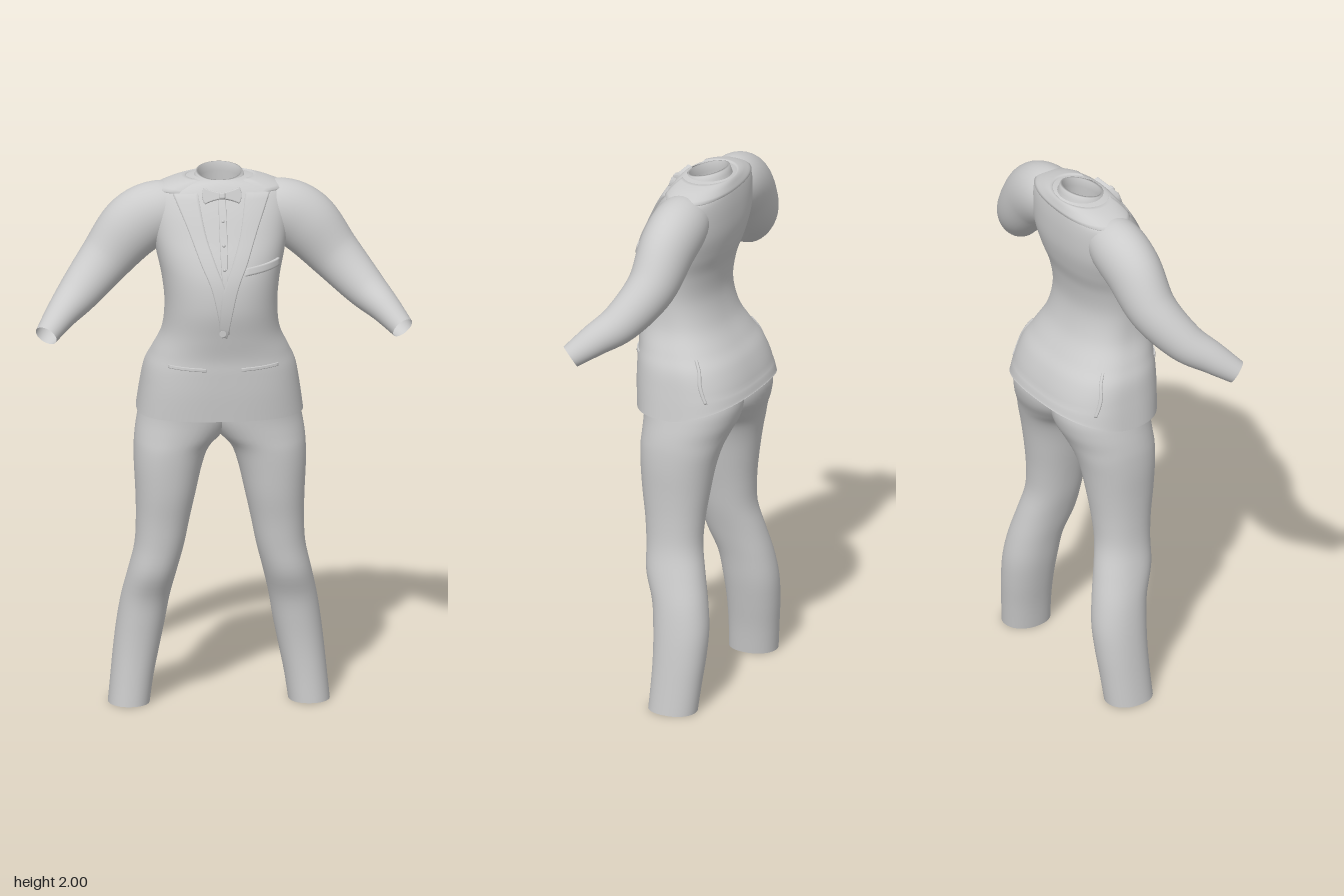
import * as THREE from 'three';
import { RoundedBoxGeometry } from 'three/addons/geometries/RoundedBoxGeometry.js';

const material = new THREE.MeshStandardMaterial({ color: 0xcccccc, side: THREE.DoubleSide });

// Smooth interpolation through a list of rows, t in 0..rows.length-1
function sample(rows, t) {
  const last = rows.length - 1;
  const i = Math.min(Math.max(Math.floor(t), 0), last - 1), f = t - i;
  const p0 = rows[Math.max(i - 1, 0)], p1 = rows[i], p2 = rows[i + 1], p3 = rows[Math.min(i + 2, last)];
  return p1.map((b, k) => {
    const a = p0[k], c = p2[k], d = p3[k];
    return b + 0.5 * f * (c - a + f * (2 * a - 5 * b + 4 * c - d + f * (3 * (b - c) + d - a)));
  });
}

// Surface grid from fn(u, v) with u, v in 0..1
function grid(fn, nu, nv, closed) {
  const cols = closed ? nu : nu + 1, pos = [], index = [];
  for (let j = 0; j <= nv; j++)
    for (let i = 0; i < cols; i++) pos.push(...fn(i / nu, j / nv));
  for (let j = 0; j < nv; j++)
    for (let i = 0; i < nu; i++) {
      const k = (i + 1) % cols, a = j * cols + i, b = j * cols + k;
      index.push(a, a + cols, b, b, a + cols, b + cols);
    }
  const g = new THREE.BufferGeometry();
  g.setAttribute('position', new THREE.Float32BufferAttribute(pos, 3));
  g.setIndex(index);
  g.computeVertexNormals();
  return g;
}

const spow = (v, e) => Math.sign(v) * Math.abs(v) ** e;

// Jacket rows: y, half width, front z, back z, side z, squareness
const jacket = [
  [1.105, 0.3, 0.19, -0.238, -0.02, 2.6], [1.2, 0.287, 0.197, -0.225, -0.02, 2.6],
  [1.28, 0.272, 0.2, -0.195, -0.01, 2.5], [1.34, 0.246, 0.202, -0.155, 0.01, 2.4],
  [1.42, 0.212, 0.217, -0.11, 0.03, 2.3], [1.52, 0.203, 0.235, -0.088, 0.04, 2.2],
  [1.62, 0.213, 0.23, -0.1, 0.03, 2.2], [1.7, 0.23, 0.205, -0.125, 0.01, 2.3],
  [1.78, 0.245, 0.165, -0.142, -0.01, 2.4], [1.86, 0.25, 0.125, -0.145, -0.02, 2.4],
  [1.92, 0.24, 0.09, -0.14, -0.03, 2.3], [1.948, 0.19, 0.072, -0.132, -0.03, 2.2],
  [1.963, 0.135, 0.058, -0.125, -0.035, 2.1], [1.97, 0.09, 0.045, -0.115, -0.035, 2],
];
const top = jacket.length - 1;

function jacketPoint(t, angle) {
  const [y, w, front, back, mid, n] = sample(jacket, t);
  const c = Math.cos(angle), s = Math.sin(angle);
  const lift = 0.06 * Math.max(0, -s) * Math.max(0, 1 - t); // hem rises at the back
  return new THREE.Vector3(w * spow(c, 2 / n), y + lift,
    mid + (s > 0 ? front - mid : mid - back) * spow(s, 2 / n));
}
// Point raised off the jacket along its normal
function raised(t, angle, h) {
  const p = jacketPoint(t, angle), e = 0.02;
  const du = jacketPoint(t, angle + e).sub(jacketPoint(t, angle - e));
  const dv = jacketPoint(Math.min(t + e, top), angle).sub(jacketPoint(Math.max(t - e, 0), angle));
  return p.addScaledVector(dv.cross(du).normalize(), h);
}
function levelAt(y) {
  let lo = 0, hi = top;
  for (let i = 0; i < 30; i++) {
    const m = (lo + hi) / 2;
    if (sample(jacket, m)[0] < y) lo = m; else hi = m;
  }
  return lo;
}
// Position on the jacket front (side = 1) or back (side = -1) from x and y
function locate(x, y, side = 1) {
  const t = levelAt(y), [, w, , , , n] = sample(jacket, t);
  const angle = Math.acos(spow(THREE.MathUtils.clamp(x / w, -1, 1), n / 2));
  return [t, side > 0 ? angle : 2 * Math.PI - angle];
}
// Raised cloth whose rim sinks into the jacket; a and b are two edges over v
function cloth(edges, h, nu = 14, nv = 24) {
  const squeeze = (f, n) => f === 0 || f === 1 ? f : 0.03 + 0.94 * (f * n - 1) / (n - 2);
  return grid((u, v) => {
    const rim = u === 0 || u === 1 || v === 0 || v === 1;
    const [a, b] = edges(squeeze(v, nv)), k = squeeze(u, nu);
    return raised(a[0] + (b[0] - a[0]) * k, a[1] + (b[1] - a[1]) * k, rim ? -0.003 : h);
  }, nu, nv);
}
// Rows: xA, yA, xB, yB going up, xA to the +x side of xB
const patch = (rows, h, side = 1, nu, nv) => cloth(v => {
  const [xa, ya, xb, yb] = sample(rows, v * (rows.length - 1));
  const a = locate(xa, ya, side), b = locate(xb, yb, side);
  return side > 0 ? [a, b] : [b, a];
}, h, nu, nv);
const mirrorRows = rows => rows.map(([xa, ya, xb, yb]) => [-xb, yb, -xa, ya]);

// Trouser leg rows: y, inner x, outer x, front z, back z
const leg = [
  [0, 0.25, 0.4, 0.042, -0.14], [0.1, 0.235, 0.39, 0.037, -0.15], [0.2, 0.215, 0.38, 0.036, -0.16],
  [0.3, 0.195, 0.368, 0.042, -0.163], [0.4, 0.178, 0.352, 0.055, -0.15], [0.5, 0.155, 0.33, 0.09, -0.128],
  [0.6, 0.13, 0.308, 0.1, -0.107], [0.7, 0.11, 0.303, 0.11, -0.11], [0.8, 0.088, 0.305, 0.125, -0.123],
  [0.9, 0.065, 0.31, 0.135, -0.14], [0.97, 0.038, 0.31, 0.14, -0.158], [1.02, -0.01, 0.306, 0.142, -0.175],
  [1.08, -0.05, 0.296, 0.145, -0.2], [1.15, -0.05, 0.28, 0.15, -0.207], [1.25, -0.03, 0.24, 0.15, -0.17],
];
function legPoint(u, v) {
  const [y, inner, outer, front, back] = sample(leg, v * (leg.length - 1));
  const a = u * Math.PI * 2;
  return [(inner + outer) / 2 + (outer - inner) / 2 * spow(Math.cos(a), 0.93), y,
    (front + back) / 2 + (front - back) / 2 * spow(Math.sin(a), 0.93)];
}

// Sleeve rows: x, y, z, radius across, radius in depth
const sleeve = [
  [0.12, 1.86, -0.025, 0.07, 0.08], [0.21, 1.845, -0.025, 0.11, 0.1], [0.31, 1.79, -0.02, 0.118, 0.1],
  [0.415, 1.67, -0.005, 0.096, 0.088], [0.515, 1.565, 0.06, 0.076, 0.074],
  [0.585, 1.505, 0.135, 0.057, 0.06], [0.643, 1.448, 0.205, 0.042, 0.044],
];
function sleevePoint(u, v) {
  const t = v * (sleeve.length - 1), r = sample(sleeve, t), a = u * Math.PI * 2;
  const at = s => new THREE.Vector3(...sample(sleeve, s).slice(0, 3));
  const dir = at(Math.min(t + 0.05, sleeve.length - 1)).sub(at(Math.max(t - 0.05, 0))).normalize();
  const across = dir.clone().cross(new THREE.Vector3(0, 0, 1)).normalize();
  const depth = across.clone().cross(dir);
  return at(t).addScaledVector(across, r[3] * Math.cos(a)).addScaledVector(depth, r[4] * Math.sin(a));
}

// Shirt collar rows: y, x radius, z radius (outside up, then down inside)
const collar = [[1.94, 0.1, 0.088], [1.965, 0.092, 0.08], [1.983, 0.085, 0.074],
  [1.984, 0.077, 0.066], [1.95, 0.078, 0.066], [1.88, 0.085, 0.07]];

export function createModel() {
  const group = new THREE.Group();
  const add = (name, geometry, parent = group) => {
    const m = new THREE.Mesh(geometry, material);
    m.name = name;
    parent.add(m);
    return m;
  };

  add('jacket', grid((u, v) => jacketPoint(v * top, u * Math.PI * 2), 72, 78, true));

  // Mirrored sleeves and trouser legs
  for (const [side, s] of [['left', 1], ['right', -1]]) {
    add(side + 'Sleeve', grid(sleevePoint, 36, 40, true)).scale.x = s;
    add(side + 'TrouserLeg', grid(legPoint, 40, 56, true)).scale.x = s;
  }

  // Lapels, the left one lying over the right
  const lapel = [[0.008, 1.42, -0.02, 1.44], [0.045, 1.6, -0.012, 1.58], [0.085, 1.7, 0.03, 1.7],
    [0.13, 1.82, 0.062, 1.8], [0.178, 1.93, 0.085, 1.935]];
  add('leftLapel', patch(lapel, 0.008));
  add('rightLapel', patch(mirrorRows(lapel), 0.004));

  // Jacket collar around the back of the neck
  const low = levelAt(1.925), high = levelAt(1.966), rad = Math.PI / 180;
  add('jacketCollar', cloth(v => {
    const t = low + (high - low) * v;
    return [[t, 125 * rad], [t, 415 * rad]];
  }, 0.006, 48, 10));

  // Shirt placket and studs
  add('shirtPlacket', patch([[0.008, 1.6, -0.008, 1.6], [0.014, 1.75, -0.014, 1.75], [0.014, 1.92, -0.014, 1.92]], 0.003));
  for (const y of [1.68, 1.76, 1.84]) {
    const stud = add('shirtStud', new THREE.SphereGeometry(0.006, 10, 8));
    stud.position.copy(raised(...locate(0, y), 0.004));
  }
  const button = add('jacketButton', new THREE.CylinderGeometry(0.012, 0.012, 0.008, 16));
  button.rotation.x = Math.PI / 2;
  button.position.copy(raised(...locate(-0.008, 1.45), 0.008));

  // Breast pocket, hip pockets and back vents
  add('breastPocket', patch([[0.2, 1.672, 0.07, 1.655], [0.2, 1.7, 0.07, 1.683]], 0.008, 1, 14, 6));
  const hip = [[0.2, 1.302, 0.06, 1.296], [0.2, 1.314, 0.06, 1.308]];
  const vent = [[0.262, 1.17, 0.255, 1.17], [0.258, 1.25, 0.25, 1.25], [0.225, 1.33, 0.218, 1.33]];
  add('leftHipPocket', patch(hip, 0.005, 1, 14, 6));
  add('rightHipPocket', patch(mirrorRows(hip), 0.005, 1, 14, 6));
  add('leftVent', patch(vent, 0.005, -1, 6, 16));
  add('rightVent', patch(mirrorRows(vent), 0.005, -1, 6, 16));

  // Shirt collar, higher at the back
  add('shirtCollar', grid((u, v) => {
    const [y, rx, rz] = collar[Math.round(v * 5)], a = u * Math.PI * 2;
    return [rx * Math.cos(a), y - 0.016 * Math.sin(a), -0.03 + rz * Math.sin(a)];
  }, 40, 5, true));

  // Bow tie
  const bow = new THREE.Group();
  bow.name = 'bowTie';
  const wing = new THREE.Shape();
  wing.moveTo(0.004, 0.008);
  wing.quadraticCurveTo(0.035, 0.014, 0.062, 0.026);
  wing.quadraticCurveTo(0.074, 0, 0.06, -0.024);
  wing.quadraticCurveTo(0.035, -0.012, 0.004, -0.008);
  const wingGeometry = new THREE.ExtrudeGeometry(wing,
    { depth: 0.012, bevelSize: 0.004, bevelThickness: 0.005, bevelSegments: 3, curveSegments: 8 });
  wingGeometry.translate(0, 0, -0.006);
  for (const s of [1, -1]) {
    const m = add('bowWing', wingGeometry, bow);
    m.scale.x = s;
    m.rotation.y = s * 0.15;
  }
  add('bowKnot', new RoundedBoxGeometry(0.024, 0.026, 0.032, 3, 0.008), bow);
  bow.position.set(0, 1.925, 0.095);
  bow.rotation.x = -0.35;
  group.add(bow);

  return group;
}
